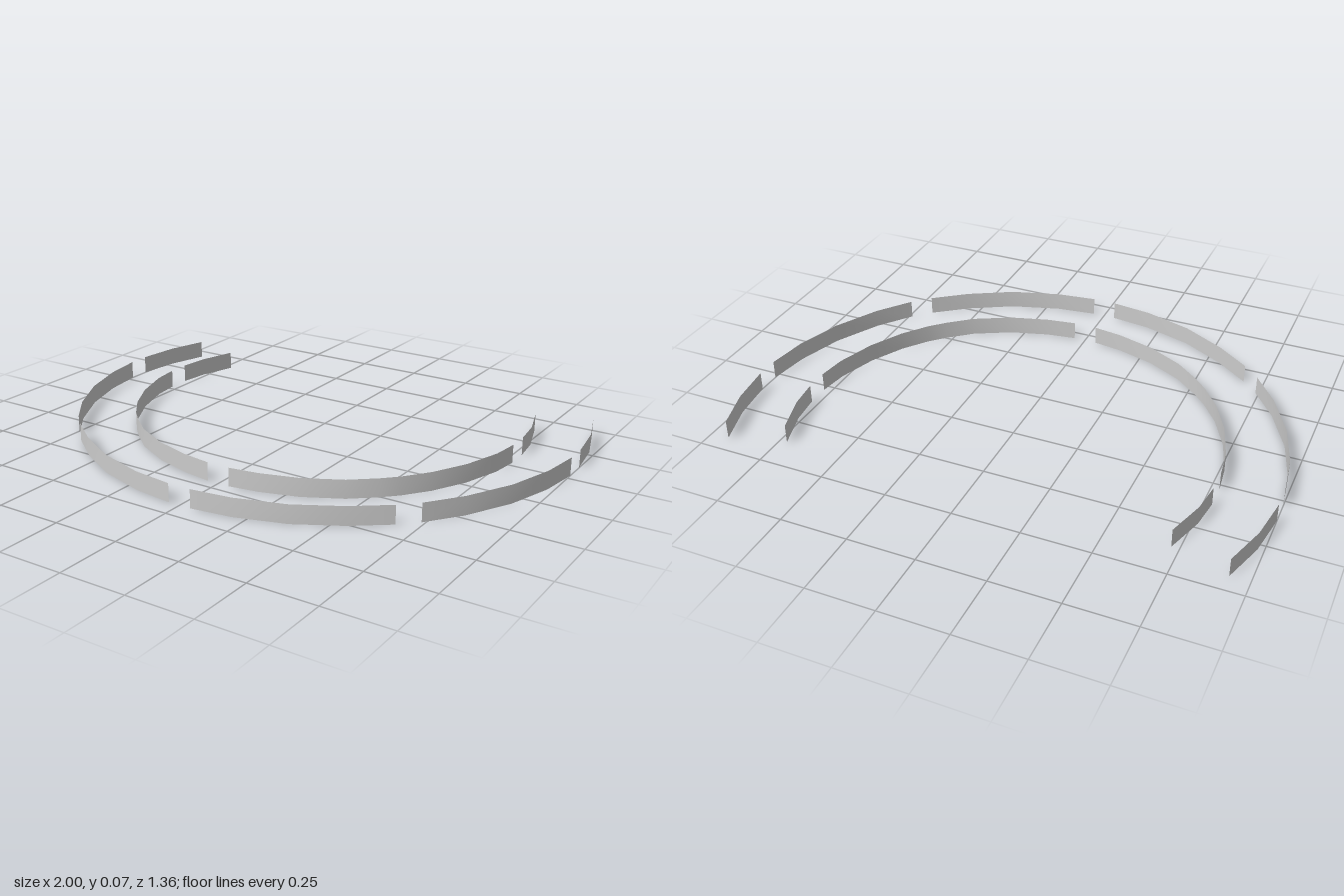
import * as THREE from 'three';

const HEIGHT = 0.07;

// Plan outlines [x, z] of the strips on the +x side, from front to back
const strips = {
  outerFront: [[0.045, 0.675], [0.2, 0.655], [0.385, 0.598], [0.55, 0.507], [0.675, 0.413]],
  outerSide: [[0.738, 0.352], [0.833, 0.227], [0.923, 0.057], [0.978, -0.12], [1, -0.277]],
  outerBack: [[1, -0.363], [0.978, -0.527], [0.93, -0.683]],
  innerFront: [[0.045, 0.457], [0.158, 0.44], [0.3, 0.398], [0.437, 0.327], [0.527, 0.253],
    [0.58, 0.2], [0.65, 0.108], [0.718, -0.02], [0.766, -0.168], [0.78, -0.277]],
  innerBack: [[0.78, -0.363], [0.766, -0.478], [0.722, -0.622]],
};

// Upright ribbon standing on a plan outline, facing outwards
function ribbon(points) {
  const positions = [], index = [];
  points.forEach(([x, z], i) => {
    positions.push(x, 0, z, x, HEIGHT, z);
    if (i > 0) {
      const a = 2 * (i - 1);
      index.push(a, a + 2, a + 3, a, a + 3, a + 1);
    }
  });
  const geometry = new THREE.BufferGeometry();
  geometry.setAttribute('position', new THREE.Float32BufferAttribute(positions, 3));
  geometry.setIndex(index);
  geometry.computeVertexNormals();
  return geometry;
}

export function createModel() {
  const group = new THREE.Group();
  group.name = 'curvedStrips';
  const material = new THREE.MeshStandardMaterial({ color: 0xcccccc, side: THREE.DoubleSide });

  for (const [name, points] of Object.entries(strips)) {
    // Mirrored outline runs backwards so it also faces outwards
    const mirrored = points.map(([x, z]) => [-x, z]).reverse();
    for (const [suffix, outline] of [['Left', points], ['Right', mirrored]]) {
      const mesh = new THREE.Mesh(ribbon(outline), material);
      mesh.name = name + 'Strip' + suffix;
      group.add(mesh);
    }
  }
  return group;
}
